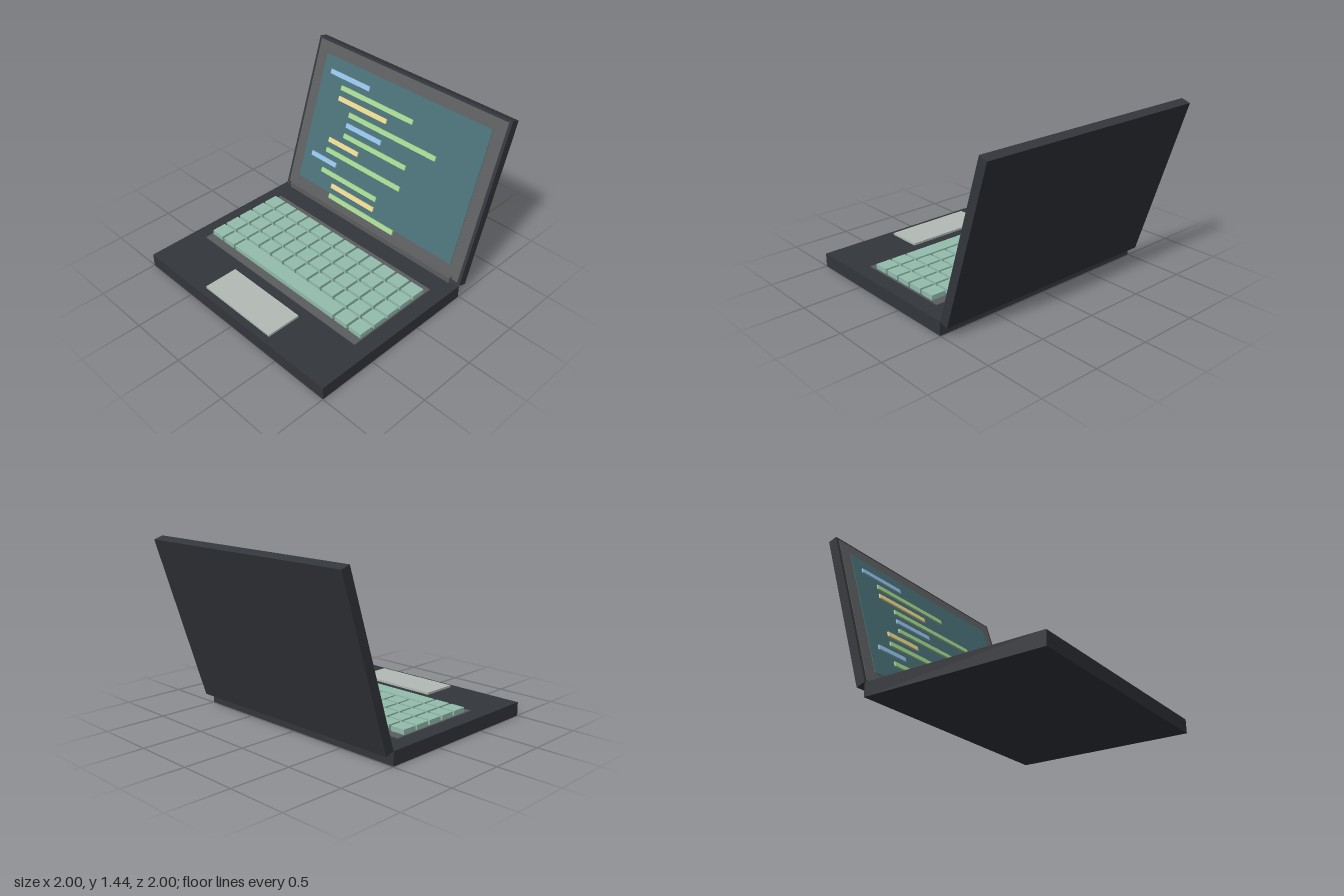
import * as THREE from 'three';

const paint = (color) => new THREE.MeshStandardMaterial({ color });
const shell = paint(0x33363b);
const trim = paint(0x5c5d5f);
const glass = paint(0x4a7077);
const keycap = paint(0x93bdad);
const padGrey = paint(0xb4bab5);
const lineColors = { b: paint(0x98c4ec), g: paint(0xa8da92), y: paint(0xecdb90) };

// Box given by its limits on each axis
function block(parent, name, material, [x0, x1], [y0, y1], [z0, z1]) {
  const mesh = new THREE.Mesh(new THREE.BoxGeometry(x1 - x0, y1 - y0, z1 - z0), material);
  mesh.position.set((x0 + x1) / 2, (y0 + y1) / 2, (z0 + z1) / 2);
  mesh.name = name;
  parent.add(mesh);
  return mesh;
}

export function createModel() {
  const model = new THREE.Group();
  model.name = 'laptop';

  // Base with keyboard tray, touchpad and hinge
  block(model, 'base', shell, [-1, 1], [0, 0.112], [-0.493, 1]);
  block(model, 'keyboardTray', trim, [-0.87, 0.87], [0.1, 0.12], [-0.295, 0.55]);
  block(model, 'touchpad', padGrey, [-0.372, 0.372], [0.1, 0.13], [0.645, 0.94]);
  block(model, 'hinge', trim, [-0.92, 0.92], [0.11, 0.16], [-0.51, -0.462]);

  // Keys: twelve columns, five rows, with the space bar in the front row
  const keys = new THREE.Group();
  keys.name = 'keys';
  model.add(keys);
  const pitch = 0.145, half = 0.062, keyY = [0.115, 0.16];
  for (let row = 0; row < 5; row++) {
    const z = -0.162 + row * pitch;
    const zs = [z - half, z + half];
    for (let col = 0; col < 12; col++) {
      if (row === 4 && col > 1 && col < 10) continue;
      const x = (col - 5.5) * pitch;
      block(keys, 'key', keycap, [x - half, x + half], keyY, zs);
    }
    if (row === 4) block(keys, 'spaceBar', keycap, [-0.57, 0.57], keyY, zs);
  }

  // Lid, tilted back about its lower front edge
  const lid = new THREE.Group();
  lid.name = 'lid';
  lid.position.set(0, 0.113, -0.495);
  lid.rotation.x = -0.314;
  model.add(lid);
  block(lid, 'lidShell', shell, [-1, 1], [0, 1.393], [-0.078, 0]);
  block(lid, 'bezel', trim, [-0.975, 0.975], [0.02, 1.373], [-0.02, 0.004]);
  block(lid, 'screen', glass, [-0.87, 0.87], [0.128, 1.276], [-0.01, 0.009]);

  // Coloured lines on the screen: colour, left end, right end
  const lines = [
    ['b', -0.775, -0.33], ['g', -0.625, 0.17], ['y', -0.625, -0.08], ['g', -0.475, 0.47],
    ['b', -0.475, -0.08], ['g', -0.475, 0.22], ['y', -0.625, -0.28], ['g', -0.625, 0.22],
    ['b', -0.775, -0.48], ['g', -0.625, 0.02], ['y', -0.475, 0.02], ['g', -0.475, 0.27],
  ];
  lines.forEach(([color, x0, x1], i) => {
    const y = 1.148 - i * 0.0947;
    block(lid, 'screenLine', lineColors[color], [x0, x1], [y - 0.02, y + 0.02], [0.007, 0.022]);
  });

  return model;
}
